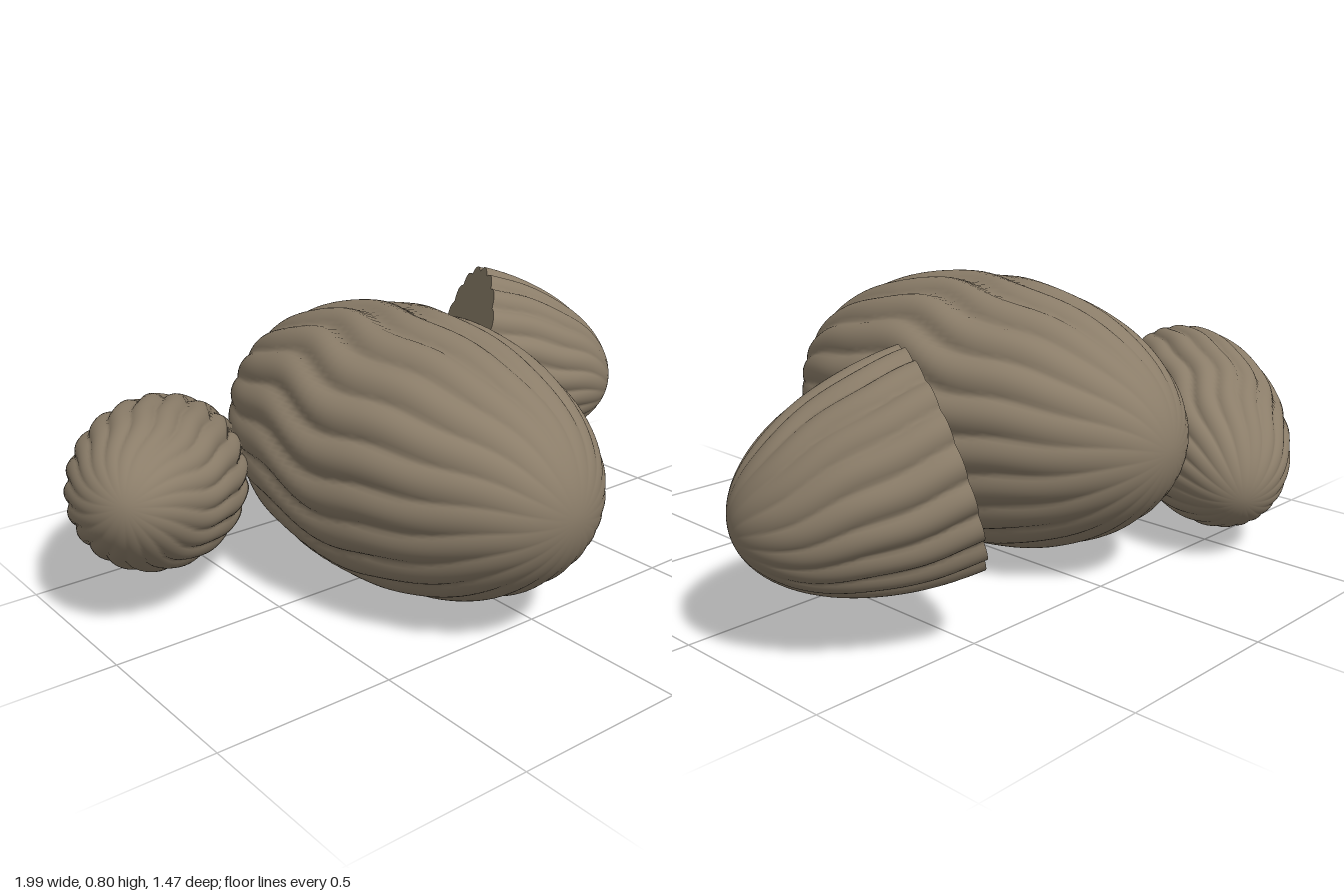
import * as THREE from 'three';
import { mergeVertices } from 'three/addons/utils/BufferGeometryUtils.js';

const RIBS = 20, SEGMENTS = 200;

// Carves wavy rounded ribs, fading at the poles, then stretches along y
function ribbed(source, radius, length, phase) {
  source.deleteAttribute('uv');
  source.deleteAttribute('normal');
  const geometry = mergeVertices(source, 1e-5);
  const p = geometry.attributes.position;
  for (let i = 0; i < p.count; i++) {
    const x = p.getX(i), y = p.getY(i), z = p.getZ(i);
    const wave = 0.07 * Math.sin(5 * y + phase) + 0.03 * Math.sin(11 * y + 2 * phase);
    const lobe = Math.abs(Math.cos((Math.atan2(z, x) + wave) * RIBS / 2));
    const fade = Math.sqrt(Math.max(0, 1 - y * y));
    const r = radius * (1 - 0.07 * fade * (1 - Math.pow(lobe, 0.8)));
    p.setXYZ(i, x * r, y * length, z * r);
  }
  geometry.computeVertexNormals();
  return geometry;
}

// Points a piece's long axis along a direction
function place(object, center, axis) {
  object.position.set(...center);
  object.quaternion.setFromUnitVectors(new THREE.Vector3(0, 1, 0), new THREE.Vector3(...axis).normalize());
  return object;
}

export function createModel() {
  const shell = new THREE.MeshStandardMaterial({ name: 'shell brown', color: 0x8b7d69 });
  const flesh = new THREE.MeshStandardMaterial({ name: 'cut face brown', color: 0x877b66 });
  const group = new THREE.Group();
  const add = (parent, name, geometry, material) => {
    const mesh = new THREE.Mesh(geometry, material);
    mesh.name = name;
    parent.add(mesh);
    return mesh;
  };

  // Whole pods
  const pod = () => new THREE.SphereGeometry(1, SEGMENTS, 64);
  place(add(group, 'largePod', ribbed(pod(), 0.4, 0.695, 0.4), shell), [-0.08, 0.402, 0.035], [0, 0, 1]);
  place(add(group, 'smallPod', ribbed(pod(), 0.248, 0.462, 1.9), shell), [-0.655, 0.315, -0.355], [-0.61, 0.24, 0.755]);

  // Halved pod with a flat cut face
  const half = new THREE.Group();
  half.name = 'halfPod';
  add(half, 'halfShell', ribbed(new THREE.SphereGeometry(1, SEGMENTS, 40, 0, Math.PI * 2, 0, Math.PI / 2), 0.295, 0.532, 1), shell);
  add(half, 'cutFace', ribbed(new THREE.CircleGeometry(1, SEGMENTS).rotateX(Math.PI / 2), 0.295, 0.532, 1), flesh);
  group.add(place(half, [0.515, 0.465, -0.395], [0.845, -0.28, 0.457]));

  return group;
}
